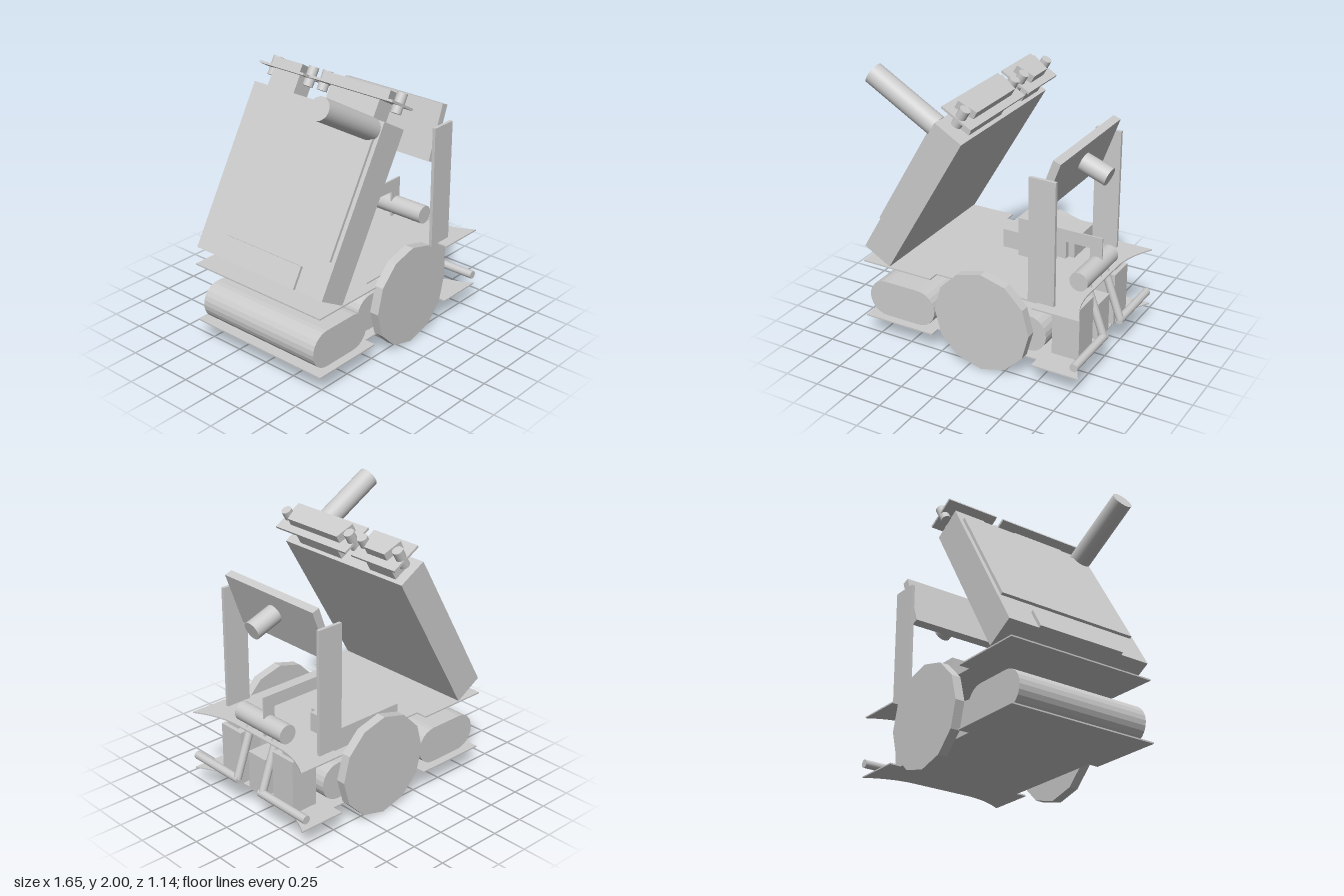
import * as THREE from 'three';

const mat = new THREE.MeshStandardMaterial({ color: 0xcccccc, side: THREE.DoubleSide });
const flat = new THREE.MeshStandardMaterial({ color: 0xcccccc, flatShading: true });

function add(parent, name, geo, material = mat) {
  const m = new THREE.Mesh(geo, material);
  m.name = name;
  parent.add(m);
  return m;
}

// Box given by its limits on each axis
function box(parent, name, [x0, x1], [y0, y1], [z0, z1]) {
  const m = add(parent, name, new THREE.BoxGeometry(x1 - x0, y1 - y0, z1 - z0));
  m.position.set((x0 + x1) / 2, (y0 + y1) / 2, (z0 + z1) / 2);
  return m;
}

// Cylinder between two points
function rod(parent, name, a, b, r, sides = 24, material = mat) {
  const p = new THREE.Vector3(...a), q = new THREE.Vector3(...b);
  const d = q.clone().sub(p);
  const m = add(parent, name, new THREE.CylinderGeometry(r, r, d.length(), sides), material);
  m.position.copy(p).add(q).multiplyScalar(0.5);
  m.quaternion.setFromUnitVectors(new THREE.Vector3(0, 1, 0), d.normalize());
  return m;
}

// Long rounded body lying across the chassis
function roundedBody(parent, name, x0, x1, y0, y1, halfZ) {
  const r = (y1 - y0) / 2, yc = (y0 + y1) / 2;
  const s = new THREE.Shape();
  s.absarc(x1 - r, yc, r, -Math.PI / 2, Math.PI / 2);
  s.absarc(x0 + r, yc, r, Math.PI / 2, Math.PI * 1.5);
  const g = new THREE.ExtrudeGeometry(s, { depth: halfZ * 2, bevelEnabled: false, curveSegments: 6 });
  add(parent, name, g.translate(0, 0, -halfZ));
}

// Chassis sheet: notched for the wheels, with a curved front edge
function chassisPlate(parent, name, top) {
  const s = new THREE.Shape();
  s.moveTo(-0.83, -0.56);
  s.lineTo(-0.29, -0.56);
  s.lineTo(-0.29, -0.48);
  s.lineTo(0.48, -0.48);
  s.lineTo(0.48, -0.56);
  s.lineTo(0.825, -0.56);
  s.quadraticCurveTo(0.725, -0.4, 0.72, -0.235);
  s.lineTo(0.72, 0.235);
  s.quadraticCurveTo(0.725, 0.4, 0.825, 0.56);
  s.lineTo(0.48, 0.56);
  s.lineTo(0.48, 0.48);
  s.lineTo(-0.29, 0.48);
  s.lineTo(-0.29, 0.56);
  s.lineTo(-0.83, 0.56);
  const g = new THREE.ExtrudeGeometry(s, { depth: 0.01, bevelEnabled: false, curveSegments: 10 });
  add(parent, name, g.rotateX(Math.PI / 2).translate(0, top, 0));
}

// Leaning cabinet with sensor shelves, built upright and then tilted
function cabinet(parent) {
  const g = new THREE.Group();
  g.name = 'leaningCabinet';
  g.position.set(-0.42, 1.155, 0);
  g.rotation.z = -Math.PI / 6;
  parent.add(g);
  box(g, 'cabinetBody', [-0.112, 0.112], [-0.588, 0.588], [-0.56, 0.56]);
  box(g, 'rearDoor', [-0.132, -0.11], [-0.34, 0.5], [-0.53, 0.53]);
  box(g, 'rearConnectorPanel', [-0.132, -0.11], [-0.588, -0.434], [-0.333, 0.333]);
  rod(g, 'rearTube', [-0.66, 0.52, 0.478], [-0.11, 0.52, 0.478], 0.075, 32);

  // Each shelf: plate limits, neck limits, sensor limits and peg positions in z
  const shelves = [
    { plate: [-0.12, 0.57], neck: [0.02, 0.43], sensor: [-0.05, 0.495], pegs: [-0.09, 0.53] },
    { plate: [-0.57, -0.175], neck: [-0.485, -0.25], sensor: [-0.49, -0.25], pegs: [-0.535, -0.215] },
  ];
  for (const { plate, neck, sensor, pegs } of shelves) {
    box(g, 'shelfNeck', [-0.06, 0.085], [0.58, 0.72], neck);
    box(g, 'shelfPlate', [-0.12, 0.12], [0.716, 0.732], plate);
    const [a, b] = sensor, inset = 0.03;
    const s = new THREE.Shape([
      new THREE.Vector2(-0.069, a), new THREE.Vector2(0.066, a + inset),
      new THREE.Vector2(0.066, b - inset), new THREE.Vector2(-0.069, b),
    ]);
    const geo = new THREE.ExtrudeGeometry(s, { depth: 0.058, bevelEnabled: false });
    add(g, 'sensorBlock', geo.rotateX(Math.PI / 2).translate(0, 0.79, 0));
    for (const z of pegs) rod(g, 'shelfPeg', [0.01, 0.665, z], [0.01, 0.8, z], 0.036);
  }
}

// Tilted screen with a barrel, held between two uprights
function screen(parent) {
  const g = new THREE.Group();
  g.name = 'screenAssembly';
  g.position.set(0.51, 1.385, 0);
  g.rotation.z = -Math.PI / 9;
  parent.add(g);
  box(g, 'screenPanel', [-0.028, 0.028], [-0.2, 0.2], [-0.43, 0.43]);
  rod(g, 'barrel', [0.02, 0.038, 0], [0.228, 0.038, 0], 0.065);
}

export function createModel() {
  const model = new THREE.Group();
  model.name = 'wheeledRobot';

  // Chassis
  chassisPlate(model, 'lowerPlate', 0.155);
  chassisPlate(model, 'upperPlate', 0.585);
  roundedBody(model, 'rearBody', -0.83, -0.305, 0.155, 0.42, 0.5);
  roundedBody(model, 'middleBody', -0.295, 0.51, 0.155, 0.42, 0.41);
  rod(model, 'axle', [0.1, 0.37, -0.5], [0.1, 0.37, 0.5], 0.04);
  rod(model, 'motorHousing', [0.1, 0.365, -0.41], [0.1, 0.365, 0.41], 0.095);

  // Equipment on the upper plate
  box(model, 'equipmentBox', [-0.1, 0.22], [0.585, 0.72], [-0.48, -0.09]);
  box(model, 'equipmentStep', [0.22, 0.365], [0.585, 0.72], [-0.48, -0.14]);
  box(model, 'equipmentEnd', [0.365, 0.41], [0.585, 0.72], [-0.48, -0.18]);
  const bracket = new THREE.Shape([
    [0.055, 0.585], [0.145, 0.585], [0.145, 0.78], [0.6, 0.78],
    [0.6, 0.585], [0.69, 0.585], [0.69, 0.87], [0.055, 0.87],
  ].map(p => new THREE.Vector2(...p)));
  add(model, 'bracket', new THREE.ExtrudeGeometry(bracket, { depth: 0.012, bevelEnabled: false })
    .translate(0, 0, -0.041));

  cabinet(model);
  screen(model);

  // Front roller and centre block
  rod(model, 'frontRoller', [0.65, 0.66, -0.228], [0.65, 0.66, 0.232], 0.067, 32);
  box(model, 'centreBlock', [0.56, 0.73], [0.165, 0.44], [-0.085, 0.085]);
  box(model, 'centreBack', [0.53, 0.56], [0.165, 0.51], [-0.165, 0.165]);

  // Mirrored parts
  for (const s of [-1, 1]) {
    const span = (a, b) => (s > 0 ? [a, b] : [-b, -a]);
    rod(model, 'wheel', [0.1, 0.36, s * 0.493], [0.1, 0.36, s * 0.56], 0.36, 12, flat);
    box(model, 'upright', [0.41, 0.6], [0.585, 1.46], span(0.458, 0.482));
    box(model, 'frontBox', [0.53, 0.73], [0.155, 0.54], span(0.165, 0.365));
    box(model, 'frontBoxCap', [0.56, 0.7], [0.54, 0.575], span(0.23, 0.34));
    rod(model, 'bumperArm', [0.66, 0.61, s * 0.13], [0.795, 0.235, s * 0.13], 0.028);
    rod(model, 'bumperBar', [0.795, 0.235, s * 0.11], [0.795, 0.235, s * 0.57], 0.029);
  }
  return model;
}
